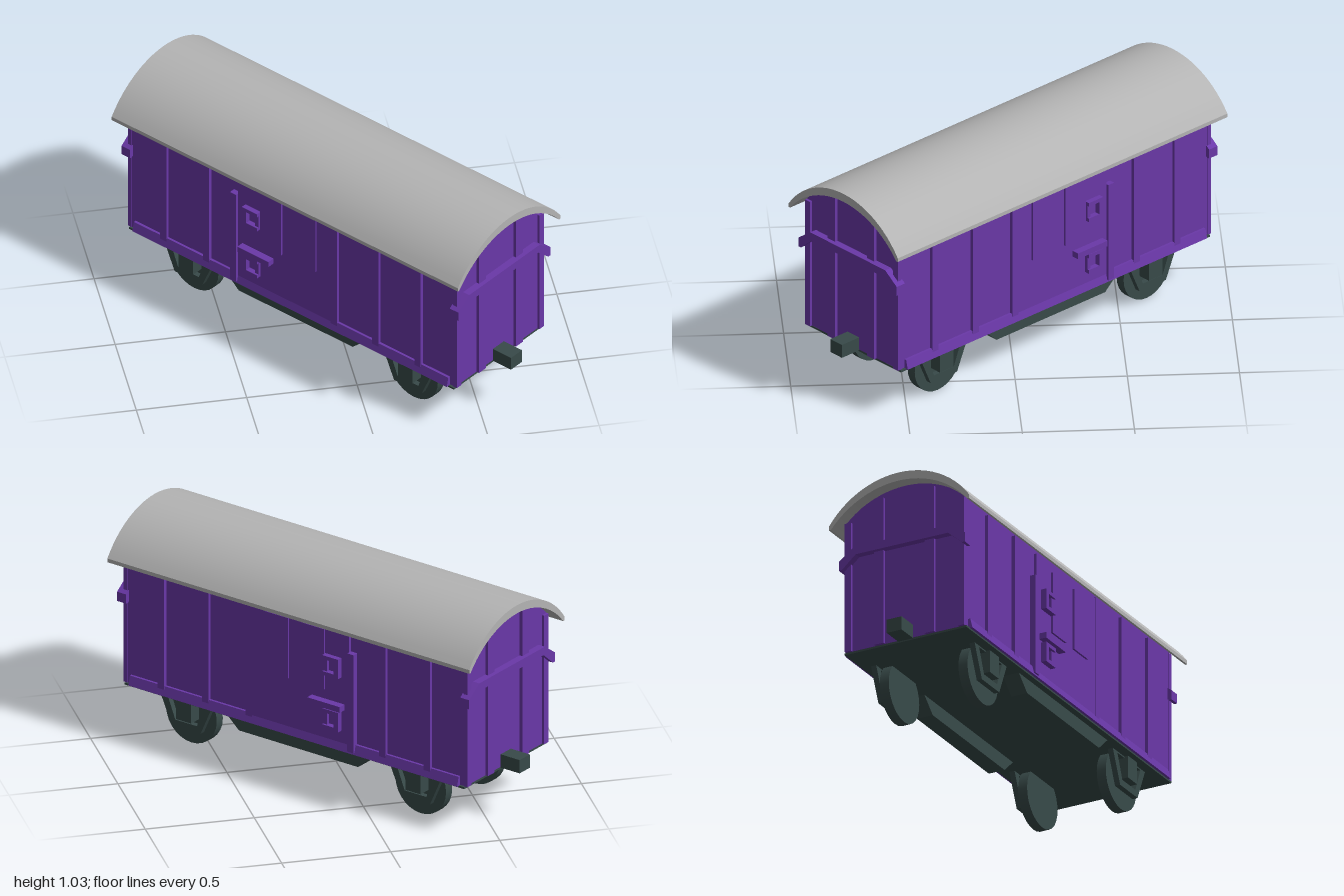
import * as THREE from 'three';
import { toCreasedNormals } from 'three/addons/utils/BufferGeometryUtils.js';

const purple = new THREE.MeshStandardMaterial({ color: 0x6a38a8 });
purple.name = 'purple paint';
const grey = new THREE.MeshStandardMaterial({ color: 0xb4b4b4 });
grey.name = 'roof grey';
const dark = new THREE.MeshStandardMaterial({ color: 0x384a49 });
dark.name = 'chassis dark green';

const HALF_L = 0.94, HALF_W = 0.3;

// points on a circular arch from +half to -half
function arch(half, yEdge, yTop, n = 24) {
  const sag = yTop - yEdge;
  const r = (half * half + sag * sag) / (2 * sag);
  const a = Math.asin(half / r);
  const pts = [];
  for (let i = 0; i <= n; i++) {
    const t = a - (2 * a * i) / n;
    pts.push(new THREE.Vector2(r * Math.sin(t), yTop - r + r * Math.cos(t)));
  }
  return pts;
}

// extrude a shape, centred along z
function extrude(shape, depth) {
  const g = new THREE.ExtrudeGeometry(shape, { depth, bevelEnabled: false });
  g.translate(0, 0, -depth / 2);
  return g;
}

const poly = (pts) => new THREE.Shape(pts.map(([x, y]) => new THREE.Vector2(x, y)));

function add(parent, name, geometry, material) {
  const m = new THREE.Mesh(geometry, material);
  m.name = name;
  parent.add(m);
  return m;
}

// box given by its limits
function box(parent, name, material, x0, x1, y0, y1, z0, z1) {
  const g = new THREE.BoxGeometry(x1 - x0, y1 - y0, z1 - z0);
  g.translate((x0 + x1) / 2, (y0 + y1) / 2, (z0 + z1) / 2);
  return add(parent, name, g, material);
}

// fittings of one long side; s is -1 or 1
function addSide(parent, s) {
  const side = new THREE.Group();
  side.name = s > 0 ? 'leftSide' : 'rightSide';
  const plate = (name, mat, out, y0, y1, z0, z1, inner = HALF_W - 0.01) =>
    box(side, name, mat, Math.min(s * inner, s * out), Math.max(s * inner, s * out), y0, y1, z0, z1);

  // wall ribs, door post and sliding door
  for (const z of [-0.737, -0.49, 0.25, 0.49, 0.735])
    plate('wallRib', purple, 0.316, 0.25, 0.855, z - 0.018, z + 0.018);
  plate('doorPost', purple, 0.328, 0.25, 0.73, -0.34, -0.305);
  plate('door', purple, 0.314, 0.242, 0.85, -0.305, 0.235);

  // two shutters on the door
  for (const z of [-0.11, 0.088])
    plate('shutter', purple, 0.323, 0.515, 0.81, z - 0.062, z + 0.062, 0.313);

  // latch bar and bracket loops
  plate('latchBar', purple, 0.35, 0.44, 0.468, -0.28, -0.1);
  for (const y of [0.383, 0.643]) {
    plate('loopTop', purple, 0.34, y + 0.03, y + 0.048, -0.262, -0.175);
    plate('loopBottom', purple, 0.34, y - 0.048, y - 0.03, -0.262, -0.175);
    plate('loopOuter', purple, 0.34, y - 0.048, y + 0.048, -0.262, -0.238);
    plate('loopInner', purple, 0.33, y - 0.03, y + 0.03, -0.195, -0.175);
  }

  // flared sill
  const sill = extrude(poly(s > 0
    ? [[0.29, 0.24], [0.323, 0.24], [0.312, 0.285], [0.29, 0.285]]
    : [[-0.29, 0.24], [-0.29, 0.285], [-0.312, 0.285], [-0.323, 0.24]]), 1.82);
  add(side, 'sill', sill, purple);

  // tapered tank under the floor
  const tank = extrude(poly([[-0.41, 0.235], [-0.33, 0.163], [0.33, 0.163], [0.41, 0.235]]), 0.08);
  tank.rotateY(Math.PI / 2);
  add(side, 'underfloorTank', tank, dark).position.x = s * 0.24;

  // wheels with axle guards and axle boxes
  for (const z of [-0.635, 0.635]) {
    const wheel = new THREE.CylinderGeometry(0.14, 0.14, 0.046, 28);
    wheel.rotateZ(Math.PI / 2);
    add(side, 'wheel', wheel, dark).position.set(s * 0.2, 0.14, z);

    const shape = poly([[-0.15, 0.238], [-0.08, 0.078], [0.08, 0.078], [0.15, 0.238]]);
    shape.holes.push(new THREE.Path([[-0.105, 0.225], [0.105, 0.225], [0.06, 0.11], [-0.06, 0.11]]
      .map(([x, y]) => new THREE.Vector2(x, y))));
    const guard = extrude(shape, 0.026);
    guard.rotateY(Math.PI / 2);
    add(side, 'axleGuard', guard, dark).position.set(s * 0.25, 0, z);
    plate('axleBox', dark, 0.282, 0.125, 0.238, z - 0.042, z + 0.042, 0.22);
  }
  parent.add(side);
}

// fittings of one end, made for +z
function makeEnd(name) {
  const end = new THREE.Group();
  end.name = name;
  for (const x of [-0.128, 0.128])
    box(end, 'endRib', purple, x - 0.024, x + 0.024, 0.242, 0.955, HALF_L - 0.01, HALF_L + 0.015);
  for (const s of [-1, 1])
    box(end, 'cornerRib', purple, s * 0.287 - 0.016, s * 0.287 + 0.016, 0.242, 0.87, HALF_L - 0.01, HALF_L + 0.012);

  // cross rail with drooping tips
  const rail = extrude(poly([
    [-0.32, 0.635], [-0.305, 0.635], [-0.235, 0.697], [0.235, 0.697], [0.305, 0.635], [0.32, 0.635],
    [0.32, 0.68], [0.245, 0.735], [-0.245, 0.735], [-0.32, 0.68]]), 0.05);
  add(end, 'endRail', rail, purple).position.z = HALF_L + 0.01;

  box(end, 'coupler', dark, -0.038, 0.038, 0.238, 0.303, 0.92, 1.045);
  return end;
}

export function createModel() {
  const root = new THREE.Group();
  root.name = 'boxWagon';
  const wagon = new THREE.Group();
  wagon.name = 'wagon';

  // body with arched top
  const wall = new THREE.Shape([
    new THREE.Vector2(-HALF_W, 0.242), new THREE.Vector2(HALF_W, 0.242),
    ...arch(HALF_W, 0.875, 0.998)]);
  add(wagon, 'body', toCreasedNormals(extrude(wall, HALF_L * 2), 0.5), purple);
  box(wagon, 'floor', dark, -0.31, 0.31, 0.232, 0.2415, -HALF_L, HALF_L);

  // curved roof shell
  const roof = new THREE.Shape([
    new THREE.Vector2(0.356, 0.83), ...arch(0.356, 0.848, 1.035),
    new THREE.Vector2(-0.356, 0.83), ...arch(0.346, 0.83, 0.995).reverse()]);
  add(wagon, 'roof', toCreasedNormals(extrude(roof, 2.004), 0.5), grey);

  for (const s of [-1, 1]) addSide(wagon, s);

  const front = makeEnd('frontEnd');
  const back = makeEnd('backEnd');
  back.rotation.y = Math.PI;
  wagon.add(front, back);

  // the wagon stands turned on its base
  wagon.rotation.y = 0.687;
  root.add(wagon);
  return root;
}
